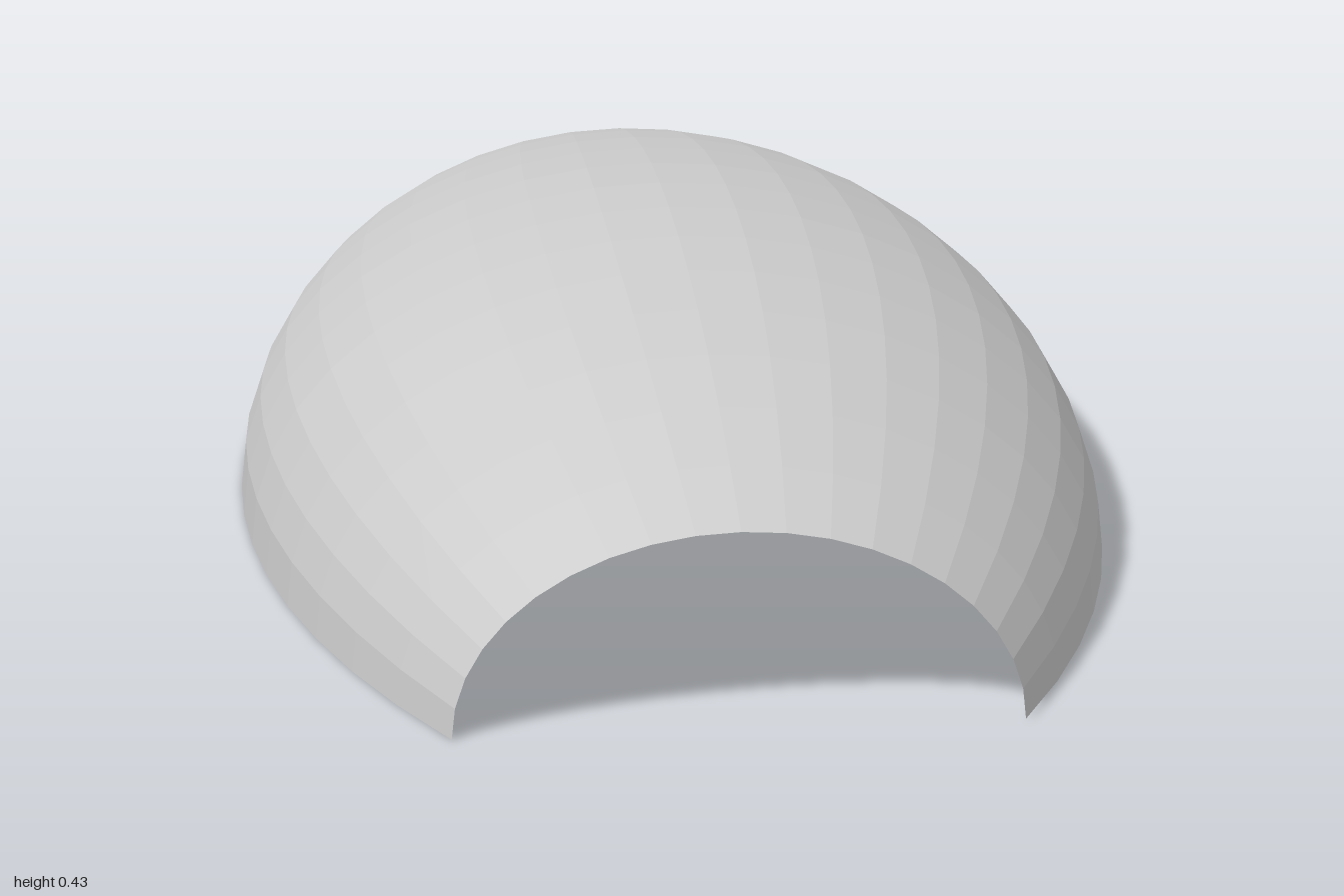
import * as THREE from 'three';

const ARCH_SEGMENTS = 20;
const LENGTH_SEGMENTS = 16;
const MAX_HALF_WIDTH = 0.592;
const HEIGHT_RATIO = 0.722; // arch height relative to its half width
const BULGE_RADIUS = 2;     // the sides follow a circular arc along z
const BULGE_CENTRE = 0.06;  // widest point, slightly towards the front

// Half width of the shell at a given z
function halfWidth(z) {
  const d = z - BULGE_CENTRE;
  return MAX_HALF_WIDTH - BULGE_RADIUS + Math.sqrt(BULGE_RADIUS ** 2 - d * d);
}

export function createModel() {
  const group = new THREE.Group();
  group.name = 'archedShell';

  // Bend a flat grid into half-elliptical arches, widest near the middle
  const geometry = new THREE.PlaneGeometry(1, 2, ARCH_SEGMENTS, LENGTH_SEGMENTS);
  const pos = geometry.attributes.position;
  for (let i = 0; i < pos.count; i++) {
    const angle = (0.5 - pos.getX(i)) * Math.PI;
    const z = -pos.getY(i);
    const w = halfWidth(z);
    pos.setXYZ(i, w * Math.cos(angle), w * HEIGHT_RATIO * Math.sin(angle), z);
  }
  geometry.computeVertexNormals();

  // Thin open shell, seen from outside and inside
  const shell = new THREE.Mesh(geometry, new THREE.MeshStandardMaterial({
    color: 0xcccccc, flatShading: true, side: THREE.DoubleSide,
  }));
  shell.name = 'shell';
  group.add(shell);
  return group;
}
